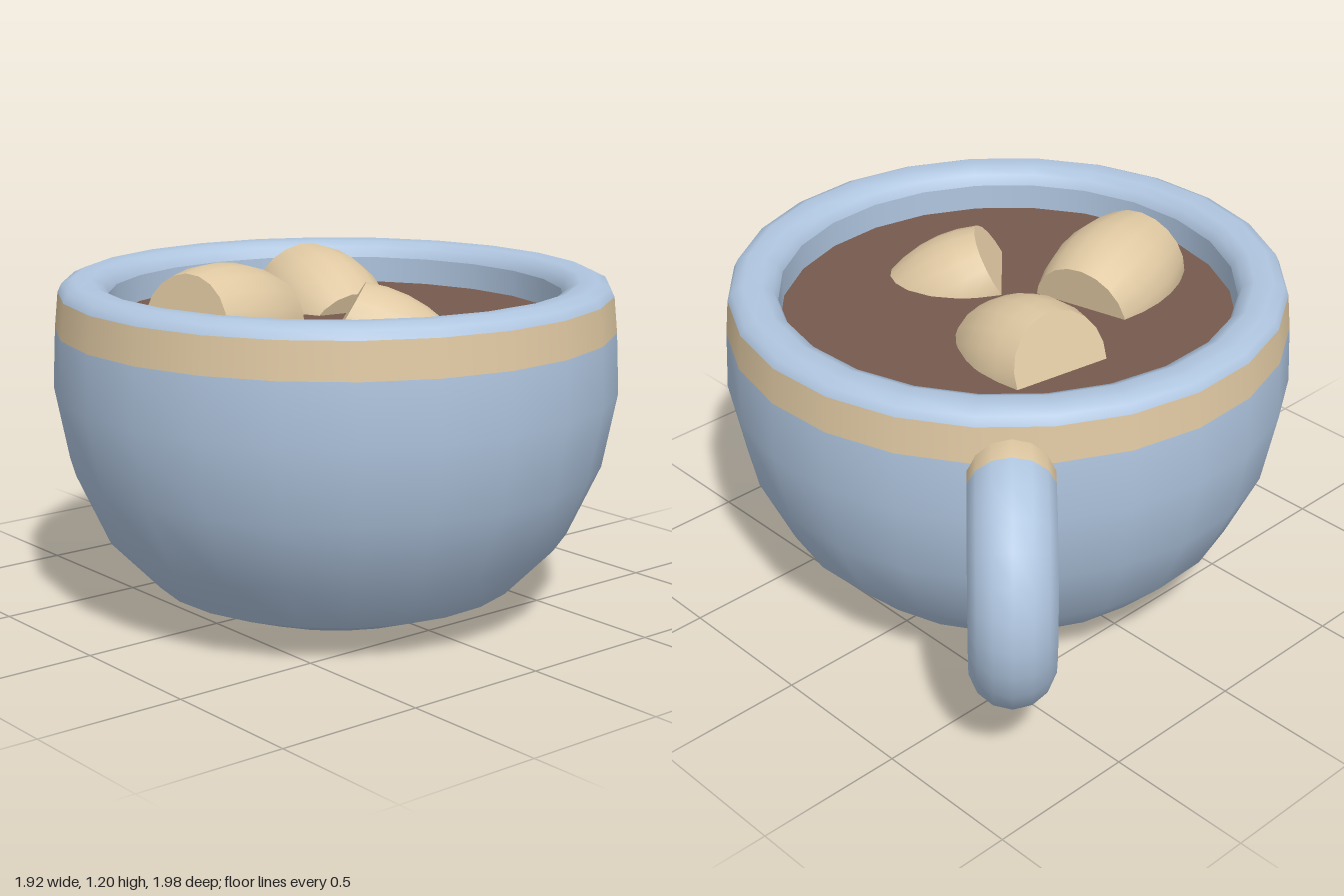
import * as THREE from 'three';

const material = (name, color) => {
  const m = new THREE.MeshStandardMaterial({ color });
  m.name = name;
  return m;
};

export function createModel() {
  const glaze = material('blue glaze', 0xb0c6e0);
  const cream = material('cream', 0xdfc8a2);
  const cocoa = material('cocoa brown', 0x775a4e);

  const model = new THREE.Group();
  model.name = 'cocoaMug';
  const rad = THREE.MathUtils.degToRad;

  const add = (parent, name, geometry, mat) => {
    const mesh = new THREE.Mesh(geometry, mat);
    mesh.name = name;
    parent.add(mesh);
    return mesh;
  };
  const lathe = (points, sides, start = 0) =>
    new THREE.LatheGeometry(points.map(([r, y]) => new THREE.Vector2(r, y)), sides, start);

  // Bowl: stacked rings of one profile, from the foot up and over the rim
  const bowl = new THREE.Group();
  bowl.name = 'bowl';
  bowl.position.set(-0.036, 0, 0.06);
  model.add(bowl);
  const ring = (name, points, mat) => add(bowl, name, lathe(points, 24, rad(10)), mat);
  ring('foot', [[0, 0], [0.18, 0.002], [0.41, 0.03], [0.62, 0.11]], glaze);
  ring('body', [[0.62, 0.11], [0.785, 0.28], [0.895, 0.52], [0.943, 0.77], [0.933, 0.97]], glaze);
  ring('rimBand', [[0.933, 0.97], [0.921, 1.09]], cream);
  ring('rim', [[0.921, 1.09], [0.907, 1.118], [0.87, 1.135], [0.81, 1.132], [0.772, 1.115], [0.757, 1.08]], glaze);
  ring('innerWall', [[0.757, 1.08], [0.757, 0.95]], glaze);

  // Drink surface
  const drink = add(bowl, 'drink', new THREE.CircleGeometry(0.76, 24, rad(10 - 90), Math.PI * 2), cocoa);
  drink.rotation.x = -Math.PI / 2;
  drink.position.y = 0.99;

  // Handle: arc of a ring in the back left corner, with a band at each end
  const handle = new THREE.Group();
  handle.name = 'handle';
  handle.rotation.y = rad(47);
  bowl.add(handle);
  const arc = (name, from, to, steps, mat) => {
    const mesh = add(handle, name, new THREE.TorusGeometry(0.305, 0.136, 14, steps, rad(to - from)), mat);
    mesh.position.set(0.93, 0.61, 0);
    mesh.rotation.z = rad(from);
  };
  arc('handleGrip', -108, 80, 14, glaze);
  arc('handleUpperBand', 80, 105, 2, cream);
  arc('handleLowerBand', -130, -108, 2, cream);

  // Marshmallows: bulging barrels with flat ends, half sunk in the drink
  const up = new THREE.Vector3(0, 1, 0);
  const marshmallow = (name, position, axis, half, endR, midR) => {
    const group = new THREE.Group();
    group.name = name;
    group.position.set(...position);
    group.quaternion.setFromUnitVectors(up, new THREE.Vector3(...axis).normalize());
    model.add(group);
    const profile = [-1, -0.6, -0.2, 0.2, 0.6, 1].map((t) => [midR - (midR - endR) * t * t, t * half]);
    add(group, 'side', lathe(profile, 20), cream);
    for (const s of [-1, 1]) {
      const cap = add(group, 'end', new THREE.CircleGeometry(endR, 20), cream);
      cap.rotation.x = -s * Math.PI / 2;
      cap.position.y = s * half;
    }
  };
  marshmallow('leftMarshmallow', [-0.41, 0.985, -0.055], [-0.95, 0.13, 0.23], 0.2, 0.175, 0.213);
  marshmallow('backMarshmallow', [0.113, 0.955, -0.19], [0.15, 0.33, -0.93], 0.19, 0.175, 0.213);
  marshmallow('frontMarshmallow', [-0.07, 0.925, 0.365], [-0.62, 0.5, -0.6], 0.175, 0.16, 0.193);

  return model;
}
